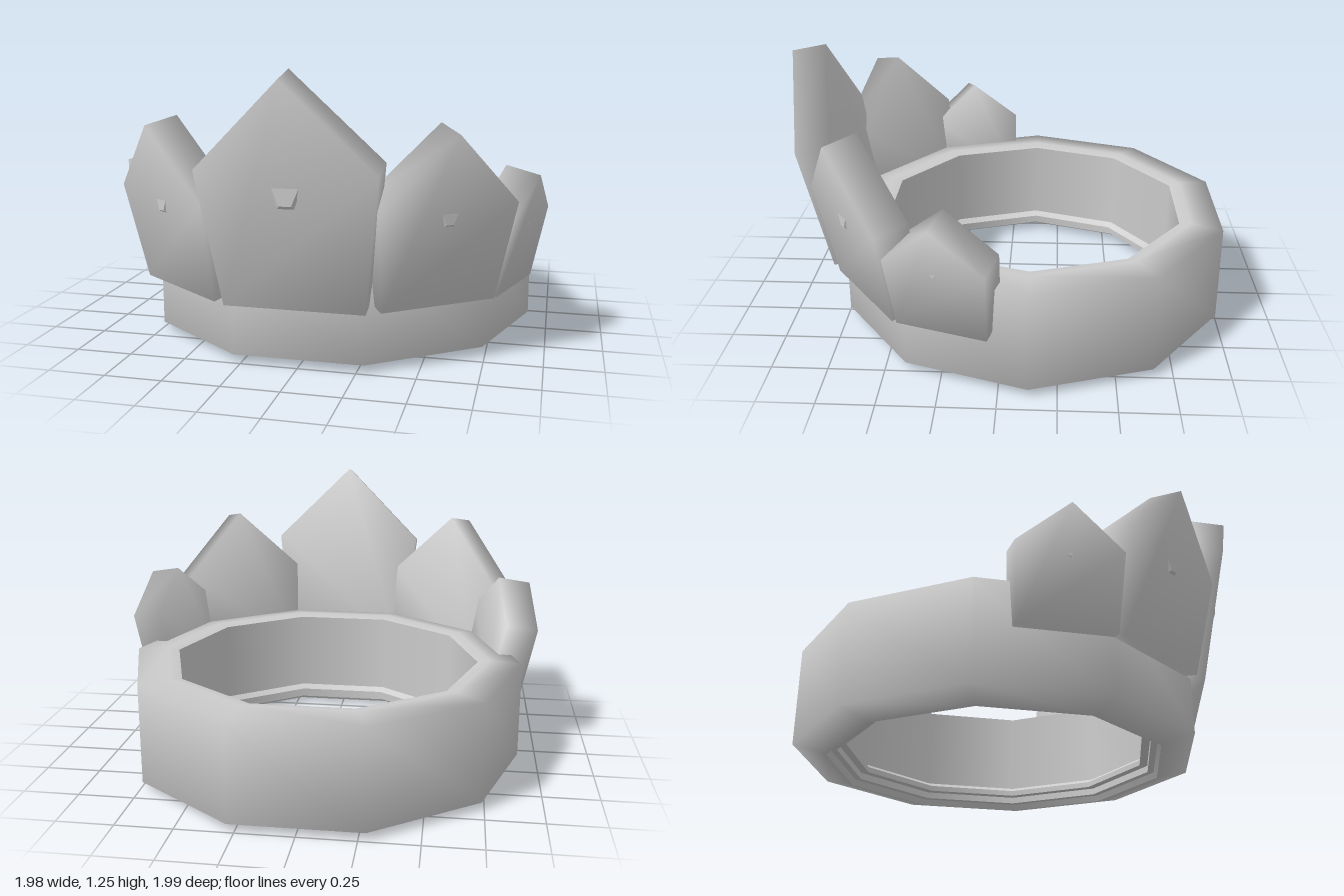
import * as THREE from 'three';
import { mergeVertices } from 'three/addons/utils/BufferGeometryUtils.js';

const BASE_Y = 0.27;     // height where the plates start
const BASE_R = 0.927;    // distance of plate fronts from the band axis at that height
const THICK = 0.16;
const TILT = 0.2;        // outward lean of the plates

const polygon = (pts) => new THREE.Shape(pts.map(([x, y]) => new THREE.Vector2(x, y)));

// Share vertices so the shading runs softly over the edges
function soften(geo) {
  geo.deleteAttribute('uv');
  geo.deleteAttribute('normal');
  const g = mergeVertices(geo, 1e-4);
  g.computeVertexNormals();
  return g;
}

// Five-sided plate leaning outwards; heights are measured above the plate's foot
function plateGeometry({ foot, wide, shoulder, apex }) {
  const k = 1 / Math.cos(TILT);
  const shape = polygon([
    [-foot, 0], [foot, 0],
    [wide, (shoulder - BASE_Y) * k],
    [0, (apex - BASE_Y) * k],
    [-wide, (shoulder - BASE_Y) * k],
  ]);
  const geo = new THREE.ExtrudeGeometry(shape, { depth: THICK, bevelEnabled: false });
  geo.translate(0, 0, -THICK);
  geo.rotateX(TILT);
  return soften(geo);
}

// Small upright stud whose lower edge stands proud of the leaning plate
function studGeometry(s) {
  const shape = polygon([[-0.025 * s, -0.032 * s], [0.025 * s, -0.032 * s], [0.055 * s, 0.04 * s], [-0.055 * s, 0.04 * s]]);
  const geo = new THREE.ExtrudeGeometry(shape, {
    depth: 0.03, bevelEnabled: true, bevelSegments: 1, bevelSize: 0.012 * s, bevelThickness: 0.01,
  });
  geo.translate(0, 0, -0.04);
  return geo;
}

export function createModel() {
  const metal = new THREE.MeshStandardMaterial({ color: 0xcccccc });
  metal.name = 'pale grey';

  const crown = new THREE.Group();
  crown.name = 'crown';
  const body = new THREE.Group();
  body.name = 'body';
  body.position.z = -0.127;
  crown.add(body);

  const add = (parent, name, geo) => {
    const mesh = new THREE.Mesh(geo, metal);
    mesh.name = name;
    parent.add(mesh);
    return mesh;
  };

  // Ten-sided band; doubled points keep the stepped lower rim sharp
  const profile = [
    [0.765, 0], [0.912, 0.035], [0.912, 0.48], [0.765, 0.492], [0.71, 0.482],
    [0.71, 0.482], [0.71, 0.1], [0.71, 0.1], [0.682, 0.08], [0.682, 0.08],
    [0.682, 0.055], [0.682, 0.055], [0.72, 0.055], [0.72, 0.055],
    [0.72, 0.025], [0.72, 0.025], [0.75, 0.025], [0.75, 0.025], [0.765, 0],
  ].map(([r, y]) => new THREE.Vector2(r, y));
  add(body, 'band', new THREE.LatheGeometry(profile, 10, Math.PI / 10));

  // Plates: step = which side of the band, shift = offset along that side
  const plates = [
    { name: 'centrePlate', step: 0, shift: 0, foot: 0.3, wide: 0.373, shoulder: 0.855, apex: 1.22, studY: 0.755, stud: 1 },
    { name: 'middlePlate', step: 1, shift: 0.03, foot: 0.265, wide: 0.315, shoulder: 0.7, apex: 1.0, studY: 0.65, stud: 0.65 },
    { name: 'outerPlate', step: 2, shift: -0.08, foot: 0.205, wide: 0.225, shoulder: 0.595, apex: 0.775, studY: 0.56, stud: 0.2 },
  ];
  for (const p of plates) {
    const plateGeo = plateGeometry(p);
    const studGeo = studGeometry(p.stud);
    for (const side of p.step ? [1, -1] : [1]) {
      const group = new THREE.Group();
      group.name = p.step ? (side > 0 ? 'left_' : 'right_') + p.name : p.name;
      group.rotation.y = side * p.step * Math.PI / 5;
      body.add(group);
      add(group, 'plate', plateGeo).position.set(side * p.shift, BASE_Y, BASE_R);
      const studR = BASE_R + (p.studY - BASE_Y) * Math.tan(TILT) + 0.008 * p.stud;
      add(group, 'stud', studGeo).position.set(side * p.shift, p.studY, studR);
    }
  }
  return crown;
}
